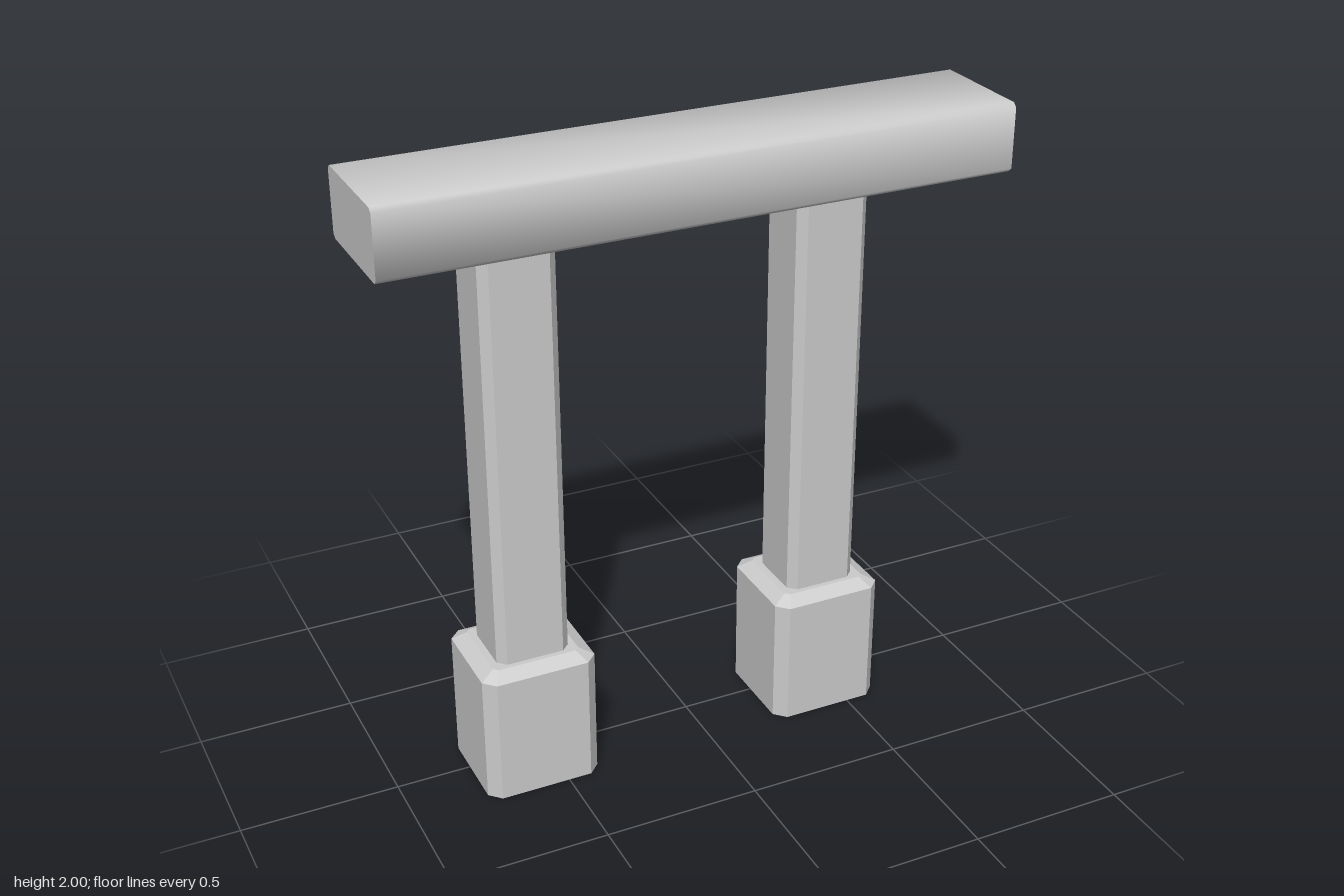
import * as THREE from 'three';
import { toCreasedNormals } from 'three/addons/utils/BufferGeometryUtils.js';

// Octagonal outline: a rectangle w by d with corners cut by c
function ring({ w, d, c, y }) {
  const x = w / 2, z = d / 2;
  return [
    [x, -z + c], [x, z - c], [x - c, z], [-x + c, z],
    [-x, z - c], [-x, -z + c], [-x + c, -z], [x - c, -z],
  ].map(([px, pz]) => [px, y, pz]);
}

// Closed solid stacked from cut-corner rings, bottom to top
function loft(sections) {
  const positions = sections.flatMap(ring).flat();
  const index = [];
  for (let s = 0; s < sections.length - 1; s++) {
    for (let i = 0; i < 8; i++) {
      const a = s * 8 + i, b = s * 8 + (i + 1) % 8;
      index.push(a, a + 8, b, b, a + 8, b + 8);
    }
  }
  const top = (sections.length - 1) * 8;
  for (let i = 1; i < 7; i++) {
    index.push(0, i, i + 1, top, top + i + 1, top + i);
  }
  const geometry = new THREE.BufferGeometry();
  geometry.setAttribute('position', new THREE.Float32BufferAttribute(positions, 3));
  geometry.setIndex(index);
  geometry.computeVertexNormals();
  return geometry;
}

export function createModel() {
  const model = new THREE.Group();
  const faceted = new THREE.MeshStandardMaterial({ color: 0xcccccc, flatShading: true });
  const smooth = new THREE.MeshStandardMaterial({ color: 0xcccccc });

  const add = (parent, name, geometry, material) => {
    const mesh = new THREE.Mesh(geometry, material);
    mesh.name = name;
    parent.add(mesh);
    return mesh;
  };

  // Footing block with a sloped top edge
  const baseGeometry = loft([
    { w: 0.37, d: 0.343, c: 0.036, y: 0 },
    { w: 0.37, d: 0.343, c: 0.036, y: 0.42 },
    { w: 0.28, d: 0.255, c: 0.014, y: 0.445 },
  ]);

  // Post with cut corners
  const postGeometry = loft([
    { w: 0.235, d: 0.222, c: 0.026, y: 0.44 },
    { w: 0.235, d: 0.222, c: 0.026, y: 1.785 },
  ]);

  // The two posts sit slightly off centre under the beam
  for (const [name, x] of [['rightPillar', -0.575], ['leftPillar', 0.425]]) {
    const pillar = new THREE.Group();
    pillar.name = name;
    pillar.position.set(x, 0, 0.026);
    add(pillar, 'base', baseGeometry, faceted);
    add(pillar, 'post', postGeometry, faceted);
    model.add(pillar);
  }

  // Beam with softened long edges, laid along x
  const beamGeometry = loft([
    { w: 0.217, d: 0.382, c: 0.013, y: -1 },
    { w: 0.217, d: 0.382, c: 0.013, y: 1 },
  ]).rotateZ(-Math.PI / 2);
  const beam = add(model, 'beam', toCreasedNormals(beamGeometry, Math.PI / 3), smooth);
  beam.position.set(0, 1.8865, -0.002);

  return model;
}
